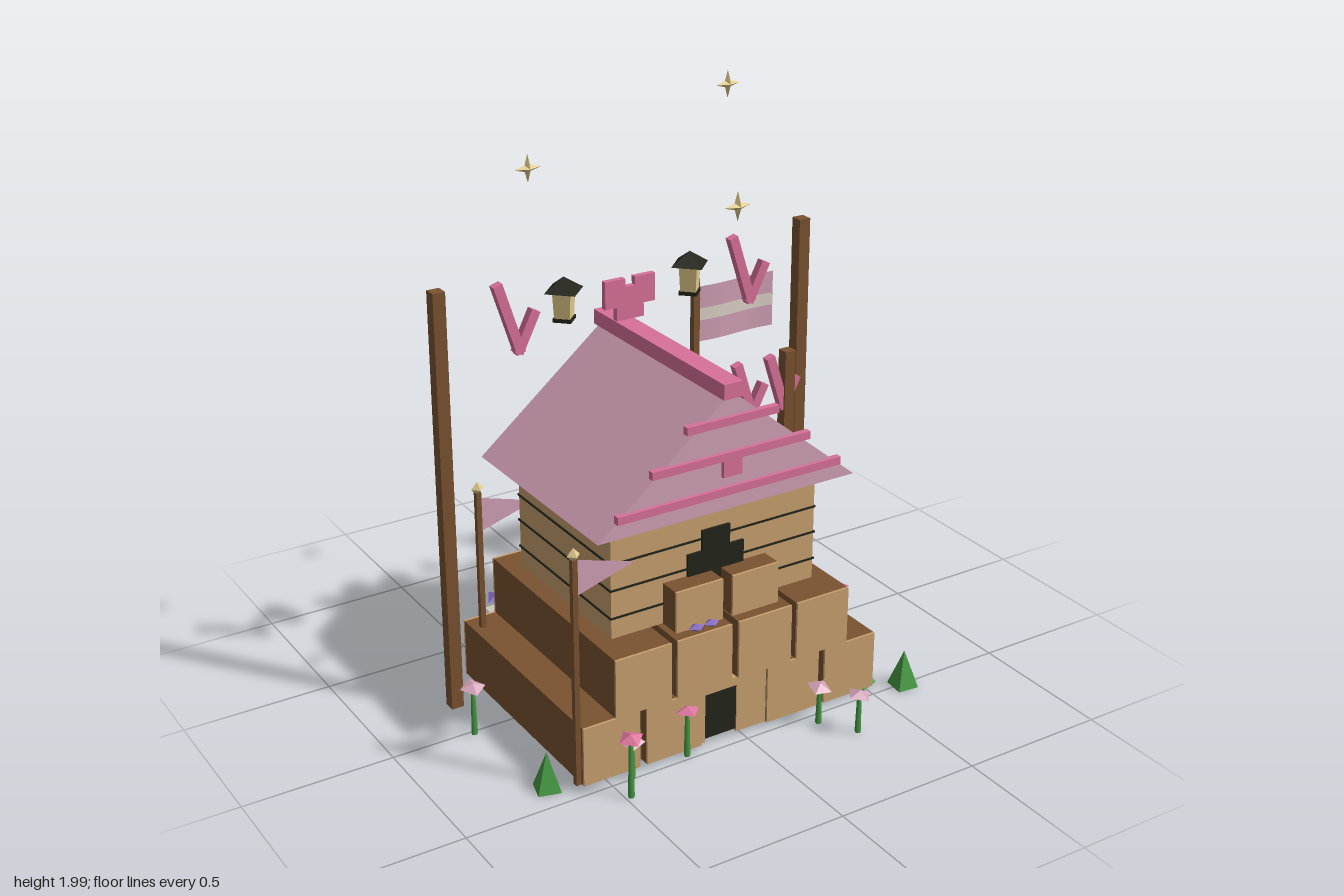
import * as THREE from 'three';
import { mergeGeometries } from 'three/addons/utils/BufferGeometryUtils.js';

const mat = (name, color, extra = {}) => {
  const m = new THREE.MeshStandardMaterial({ color, ...extra });
  m.name = name;
  return m;
};
const tan = mat('tan timber', 0xc8a06e);
const brown = mat('brown timber', 0x7a5230);
const dark = mat('dark iron', 0x23241a);
const pink = mat('roof pink', 0xd1a0b5, { side: THREE.DoubleSide });
const rose = mat('rose trim', 0xd9709a);
const green = mat('leaf green', 0x469a42);
const cream = mat('lamp cream', 0xe0cb8c);
const violet = mat('violet petal', 0x8468c4);
const white = mat('off white', 0xddd2c6, { side: THREE.DoubleSide });

const CX = -0.035; // middle of the house in x
const CZ = 0.065; // middle of the house in z

export function createModel() {
  const root = new THREE.Group();
  root.name = 'cottage';

  const add = (name, geo, material, x = 0, y = 0, z = 0, parent = root) => {
    const m = new THREE.Mesh(geo, material);
    m.name = name;
    m.position.set(x, y, z);
    parent.add(m);
    return m;
  };
  // Box given by its lower and upper limits on each axis
  const span = (name, material, x0, x1, y0, y1, z0, z1, parent = root) =>
    add(name, new THREE.BoxGeometry(x1 - x0, y1 - y0, z1 - z0), material,
      (x0 + x1) / 2, (y0 + y1) / 2, (z0 + z1) / 2, parent);
  const gem = (w, h, d) => new THREE.OctahedronGeometry(1).scale(w, h, d);
  const pyramid = (r, h) => new THREE.ConeGeometry(r, h, 4).toNonIndexed();
  const facet = (g) => { g.computeVertexNormals(); return g; };

  // Stepped foundation: beams running front to back with tan cut ends
  const base = new THREE.Group();
  base.name = 'foundation';
  root.add(base);
  span('lowerCore', brown, -0.57, 0.5, 0.03, 0.19, -0.29, 0.44, base);
  span('upperCore', brown, -0.455, 0.385, 0.19, 0.39, -0.29, 0.44, base);
  const tiers = [
    { y0: 0.03, y1: 0.23, z0: -0.315, z1: 0.475, w: 0.1, xs: [-0.485, -0.26, 0.19, 0.415] },
    { y0: 0.23, y1: 0.43, z0: -0.315, z1: 0.475, w: 0.1, xs: [-0.37, -0.148, 0.078, 0.3] },
    { y0: 0.43, y1: 0.57, z0: -0.265, z1: 0.43, w: 0.086, xs: [-0.14, 0.068] },
  ];
  for (const t of tiers) {
    for (const x of t.xs) {
      const a = x - t.w, b = x + t.w;
      span('beam', brown, a, b, t.y0, t.y1, t.z0 + 0.008, t.z1 - 0.008, base);
      span('beamEndFront', tan, a, b, t.y0, t.y1, t.z1 - 0.008, t.z1, base);
      span('beamEndBack', tan, a, b, t.y0, t.y1, t.z0, t.z0 + 0.008, base);
    }
  }
  // Low archways at front and back, the front one with a hatch
  for (const [z0, z1] of [[0.44, 0.465], [-0.305, -0.28]]) {
    span('archLintel', tan, -0.16, 0.09, 0.2, 0.23, z0, z1, base);
    span('archJamb', tan, -0.16, -0.14, 0.03, 0.2, z0, z1, base);
    span('archJamb', tan, -0.022, 0.09, 0.03, 0.2, z0, z1, base);
  }
  span('hatch', dark, -0.14, -0.022, 0.04, 0.2, 0.44, 0.462, base);

  // Plank walls with thin dark seams
  const house = new THREE.Group();
  house.name = 'house';
  root.add(house);
  span('walls', tan, CX - 0.377, CX + 0.377, 0.43, 0.815, CZ - 0.288, CZ + 0.288, house);
  for (const y of [0.5, 0.595, 0.685, 0.77])
    span('plankSeam', dark, CX - 0.381, CX + 0.381, y - 0.003, y + 0.003, CZ - 0.292, CZ + 0.292, house);

  // Stepped doorway in the front wall
  span('doorway', dark, -0.14, 0.067, 0.43, 0.645, 0.353, 0.362, house);
  span('doorwayTop', dark, -0.088, 0.015, 0.645, 0.715, 0.353, 0.362, house);

  // Gable roof, ridge beam and bars across the front gable
  const gable = new THREE.Shape([
    new THREE.Vector2(-0.467, 0), new THREE.Vector2(0.467, 0), new THREE.Vector2(0, 0.385)]);
  add('roof', new THREE.ExtrudeGeometry(gable, { depth: 0.735, bevelEnabled: false }), pink, CX, 0.81, -0.302, house);
  span('ridgeBeam', rose, CX - 0.034, CX + 0.034, 1.175, 1.225, -0.318, 0.443, house);
  for (const [y, half] of [[0.875, 0.405], [0.99, 0.285], [1.105, 0.165]])
    span('gableBar', rose, CX - half, CX + half, y - 0.013, y + 0.013, 0.425, 0.446, house);
  span('purlinEnd', rose, CX - 0.034, CX + 0.034, 0.923, 0.987, 0.425, 0.446, house);

  // Stepped heart above the ridge
  const heart = new THREE.Group();
  heart.name = 'heart';
  heart.position.set(CX, 0, -0.155);
  root.add(heart);
  for (const s of [-1, 1])
    span('heartLobe', rose, s * 0.055 - 0.037, s * 0.055 + 0.037, 1.35, 1.378, -0.01, 0.01, heart);
  span('heartBody', rose, -0.092, 0.092, 1.285, 1.35, -0.01, 0.01, heart);
  span('heartPoint', rose, -0.05, 0.05, 1.24, 1.285, -0.01, 0.01, heart);

  // Upright posts
  const post = (x, y0, y1, z, w) => span('post', brown, x - w / 2, x + w / 2, y0, y1, z - w / 2, z + w / 2);
  post(-0.707, 0.03, 1.46, -0.152, 0.042);
  post(0.632, 0.03, 1.46, -0.152, 0.042);
  post(0.522, 0.03, 1.045, -0.06, 0.04);
  post(0.388, 0.39, 0.8, -0.06, 0.05);

  // Forked branches: a long and a short limb meeting at the foot
  const limb = (x0, y0, x1, y1, z) => {
    const m = add('branch', new THREE.BoxGeometry(0.032, Math.hypot(x1 - x0, y1 - y0), 0.028), rose,
      (x0 + x1) / 2, (y0 + y1) / 2, z);
    m.rotation.z = Math.atan2(x0 - x1, y1 - y0);
  };
  const fork = (x, y, z, k = 1) => {
    limb(x, y, x - 0.075 * k, y + 0.235 * k, z);
    limb(x - 0.01, y, x + 0.055 * k, y + 0.13 * k, z);
  };
  fork(-0.43, 1.205, -0.155);
  fork(0.432, 1.205, -0.155);
  fork(0.38, 0.84, -0.06, 0.83);
  fork(0.51, 0.84, -0.06, 0.83);

  // Hanging lanterns
  for (const x of [-0.27, 0.195]) {
    const lantern = new THREE.Group();
    lantern.name = 'lantern';
    lantern.position.set(x, 0, -0.155);
    root.add(lantern);
    add('lanternRoof', facet(pyramid(0.07, 0.045)), dark, 0, 1.4, 0, lantern);
    add('lanternGlass', facet(new THREE.CylinderGeometry(0.042, 0.036, 0.09, 4).toNonIndexed()), cream, 0, 1.334, 0, lantern);
    add('lanternFoot', facet(new THREE.CylinderGeometry(0.042, 0.042, 0.012, 4).toNonIndexed()), dark, 0, 1.285, 0, lantern);
  }

  // Flag poles with a small finial
  const pole = (x, z, top, w) => {
    span('flagPole', brown, x - w / 2, x + w / 2, 0.03, top, z - w / 2, z + w / 2);
    add('finial', gem(0.022, 0.024, 0.022), cream, x, top + 0.012, z);
  };
  pole(0.428, -0.478, 1.19, 0.024);
  pole(-0.595, 0.452, 0.8, 0.018);
  pole(-0.55, -0.245, 0.72, 0.018);

  // Large rippled flag with a pale stripe on both sides
  const cloth = (y0, y1, dz) => {
    const g = new THREE.PlaneGeometry(0.315, y1 - y0, 8, 1).translate(0.597, (y0 + y1) / 2, -0.478 + dz);
    const p = g.attributes.position;
    for (let i = 0; i < p.count; i++) p.setZ(i, p.getZ(i) + 0.005 * Math.sin((p.getX(i) - 0.44) * 20));
    g.computeVertexNormals();
    return g;
  };
  add('flag', cloth(0.952, 1.155, 0), pink);
  for (const dz of [-0.002, 0.002]) add('flagStripe', cloth(1.03, 1.075, dz), white);

  // Triangular pennants
  const pennant = new THREE.Shape([
    new THREE.Vector2(0, -0.06), new THREE.Vector2(0.2, 0), new THREE.Vector2(0, 0.06)]);
  add('pennant', new THREE.ShapeGeometry(pennant), pink, -0.587, 0.735, 0.452);
  add('pennant', new THREE.ShapeGeometry(pennant), pink, -0.542, 0.637, -0.245);

  // Floating four-pointed stars
  const starGeo = mergeGeometries([gem(0.013, 0.045, 0.018), gem(0.045, 0.013, 0.018)]);
  for (const [x, y, z] of [[-0.39, 1.79, -0.145], [-0.07, 1.79, 0.5], [0.32, 1.955, -0.135]])
    add('star', starGeo, cream, x, y, z);

  // Flowers: tapered stem and a flat faceted head
  const flowers = [
    [-0.485, 0.225, 0.585, rose], [-0.43, 0.15, 0.5, pink], [0.24, 0.15, 0.55, pink],
    [0.315, 0.155, 0.66, pink], [0.655, 0.185, 0.09, rose], [0.39, 0.225, -0.465, white],
    [-0.355, 0.155, -0.52, violet], [-0.725, 0.19, 0.02, pink], [-0.45, 0.22, -0.335, white],
    [0.36, 0.215, -0.33, rose], [-0.22, 0.182, 0.485, rose]];
  flowers.forEach(([x, y, z, petal], i) => {
    add('flowerStem', new THREE.CylinderGeometry(0.007, 0.011, y - 0.02, 5), green, x, (y + 0.02) / 2, z);
    const head = add('flowerHead', gem(0.042, 0.017, 0.042), petal, x, y, z);
    head.rotation.set(0.12, i * 1.1, 0.1);
  });
  for (const x of [-0.165, -0.11]) add('ledgeFlower', gem(0.028, 0.014, 0.022), violet, x, 0.443, 0.45);

  // Grass tufts
  const tufts = [[-0.05, -0.655, 0.13], [-0.115, -0.515, 0.11], [-0.675, 0.405, 0.13],
    [0.62, 0.505, 0.13], [0.51, 0.42, 0.06]];
  tufts.forEach(([x, z, h], i) => {
    const t = add('grassTuft', facet(pyramid(0.052, h)), green, x, 0.015 + h / 2, z);
    t.rotation.y = Math.PI / 4 + 0.35 * Math.sin(i * 2);
  });

  return root;
}
